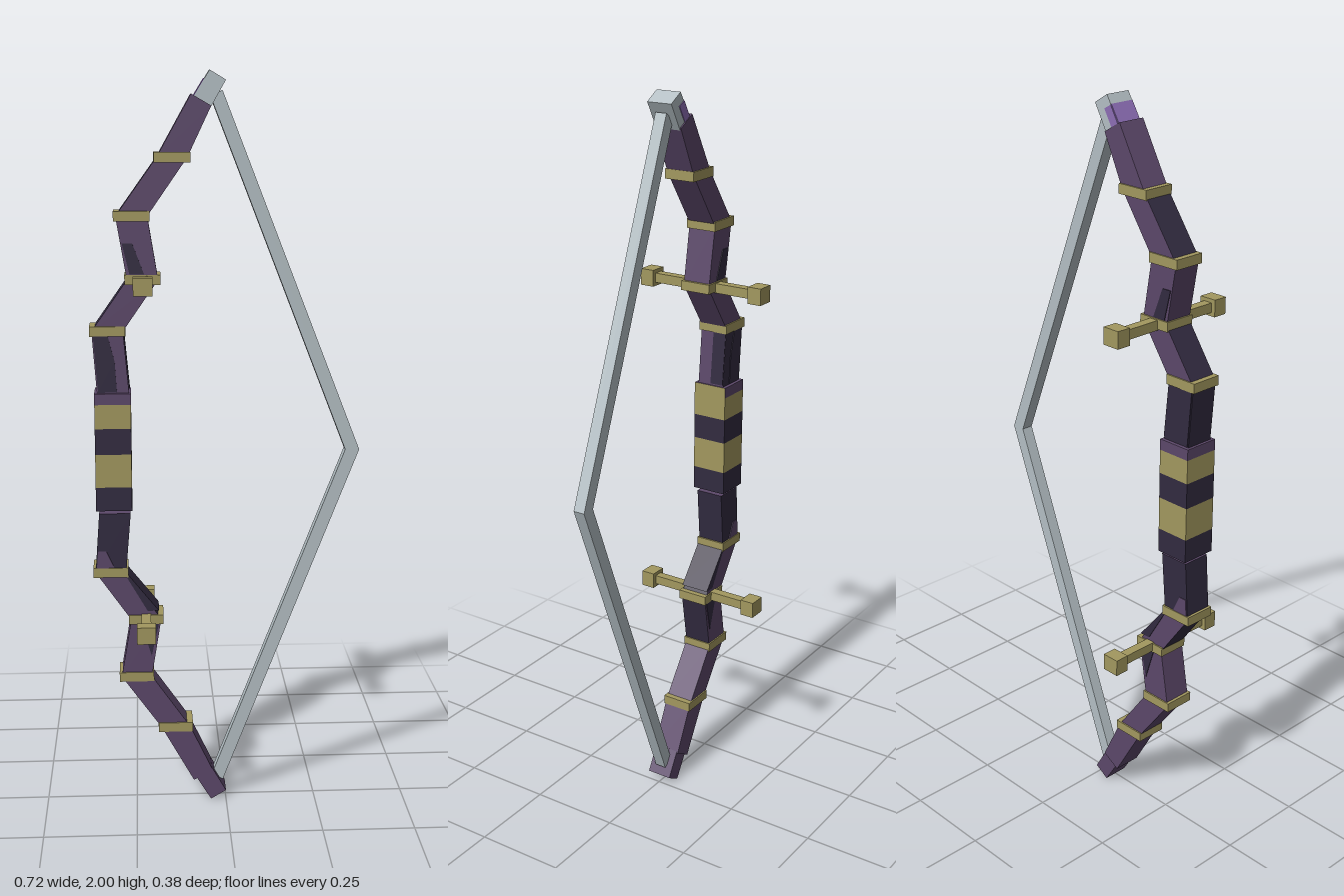
import * as THREE from 'three';

const mat = (name, color) => {
  const m = new THREE.MeshStandardMaterial({ color });
  m.name = name;
  return m;
};

export function createModel() {
  const purple = mat('purple', 0x5c486a);
  const dark = mat('dark purple', 0x322b40);
  const gold = mat('gold', 0xa2985f);
  const silver = mat('silver', 0xb4bfc4);
  const lavender = mat('lavender', 0x8c6db4);
  const bow = new THREE.Group();
  bow.name = 'bow';

  const add = (name, geometry, material, x = 0, y = 0, z = 0) => {
    const mesh = new THREE.Mesh(geometry, material);
    mesh.name = name;
    mesh.position.set(x, y, z);
    bow.add(mesh);
  };
  const box = (name, w, h, d, material, x, y, z = 0) =>
    add(name, new THREE.BoxGeometry(w, h, d), material, x, y, z);

  // Four-sided prism between two edges [xl, yl, xr, yr].
  // Material order: front, +x side, back, -x side, top, bottom.
  function prism(name, low, high, z0, z1, materials) {
    const outline = [[low[0], low[1]], [low[2], low[3]], [high[2], high[3]], [high[0], high[1]]];
    const corners = [...outline.map(p => [...p, z1]), ...outline.map(p => [...p, z0])];
    const faces = [[0, 1, 2, 3], [1, 5, 6, 2], [5, 4, 7, 6], [4, 0, 3, 7], [3, 2, 6, 7], [4, 5, 1, 0]];
    const positions = [];
    const g = new THREE.BufferGeometry();
    faces.forEach(([a, b, c, d], i) => {
      for (const k of [a, b, c, a, c, d]) positions.push(...corners[k]);
      g.addGroup(i * 6, 6, i);
    });
    g.setAttribute('position', new THREE.Float32BufferAttribute(positions, 3));
    g.computeVertexNormals();
    add(name, g, Array.isArray(materials) ? materials : Array(6).fill(materials));
  }

  // Painted patch showing on the front and back of a limb
  function patch(name, points, material) {
    const shape = new THREE.Shape(points.map(p => new THREE.Vector2(...p)));
    const g = new THREE.ExtrudeGeometry(shape, { depth: 0.084, bevelEnabled: false });
    add(name, g, material, 0, 0, -0.042);
  }

  // Limb joints from the grip outward
  const joints = [
    [-0.343, 1.165, -0.258, 1.165],
    [-0.355, 1.33, -0.272, 1.33],
    [-0.26, 1.465, -0.178, 1.465],
    [-0.288, 1.63, -0.205, 1.63],
    [-0.18, 1.78, -0.1, 1.78],
    [-0.09, 1.94, -0.038, 1.91],
  ];
  const flip = e => [e[0], 2 - e[1], e[2], 2 - e[3]];

  // Side colours per segment: front, +x, back, -x
  const upper = [
    [purple, purple, dark, dark], [purple, purple, purple, dark], [purple, purple, purple, purple],
    [purple, purple, purple, dark], [purple, purple, purple, purple],
  ];
  const lower = [
    [dark, dark, dark, dark], [purple, dark, purple, dark], [purple, dark, purple, purple],
    [purple, purple, purple, purple], [purple, purple, purple, purple],
  ];
  for (let i = 0; i < 5; i++) {
    prism('upperLimb', joints[i], joints[i + 1], -0.04, 0.04, [...upper[i], purple, purple]);
    prism('lowerLimb', flip(joints[i + 1]), flip(joints[i]), -0.04, 0.04, [...lower[i], purple, purple]);
  }

  // Dark and purple patches on the limbs
  patch('upperDarkPatch', [[-0.34, 1.167], [-0.29, 1.167], [-0.295, 1.25], [-0.315, 1.328], [-0.352, 1.328]], dark);
  patch('upperDarkWedge', [[-0.253, 1.48], [-0.215, 1.48], [-0.245, 1.56], [-0.272, 1.56]], dark);
  patch('lowerPurplePatch', [[-0.352, 0.675], [-0.3, 0.675], [-0.325, 0.73], [-0.347, 0.73]], purple);
  patch('lowerDarkPatch', [[-0.28, 0.672], [-0.215, 0.56], [-0.184, 0.56], [-0.274, 0.672]], dark);
  patch('lowerDarkWedge', [[-0.205, 0.43], [-0.183, 0.53], [-0.235, 0.53]], dark);
  prism('upperDarkSide', [-0.262, 1.17, -0.256, 1.17], [-0.275, 1.325, -0.27, 1.325], -0.0395, 0, dark);

  // Wrapped grip
  const wraps = [[0.845, 0.91, dark], [0.91, 1.0, gold], [1.0, 1.07, dark], [1.07, 1.135, gold]];
  for (const [y0, y1, m] of wraps) box('gripWrap', 0.097, y1 - y0, 0.1, m, -0.302, (y0 + y1) / 2);
  const sideGold = [gold, purple, purple, purple, purple, purple];
  box('gripTop', 0.097, 0.03, 0.1, sideGold, -0.302, 1.15);

  // Gold bands, with crossbars and knobs at the second joint
  for (const s of [1, -1]) {
    for (let i = 1; i < 5; i++) {
      const [xl, y, xr] = joints[i];
      box('band', 0.095, 0.026, 0.088, gold, (xl + xr) / 2, 1 + s * (y - 1));
    }
    const y = 1 + s * 0.462;
    box('crossbar', 0.026, 0.026, 0.32, gold, -0.219, y);
    for (const z of [-0.171, 0.171]) box('knob', 0.05, 0.046, 0.04, gold, -0.219, y, z);
  }

  // Limb tips
  const tipIn = [-0.085, 1.93, -0.04, 1.905], tipOut = [-0.042, 2, 0, 1.975];
  prism('upperTip', tipIn, tipOut, -0.036, 0.036, silver);
  prism('lowerTip', flip(tipOut), flip(tipIn), -0.036, 0.036, purple);
  prism('tipSidePaint', [-0.086, 1.932, -0.08, 1.93], [-0.057, 1.979, -0.051, 1.977], -0.0355, 0.0355, lavender);
  prism('tipBackPaint', [-0.084, 1.931, -0.062, 1.919], [-0.057, 1.977, -0.035, 1.965], -0.038, -0.034, lavender);

  // Drawn string
  const end = [-0.038, 1.932, -0.008, 1.95], nock = [0.325, 1, 0.363, 1];
  prism('upperString', nock, end, -0.0165, 0.0165, silver);
  prism('lowerString', flip(end), nock, -0.0165, 0.0165, silver);

  return bow;
}
